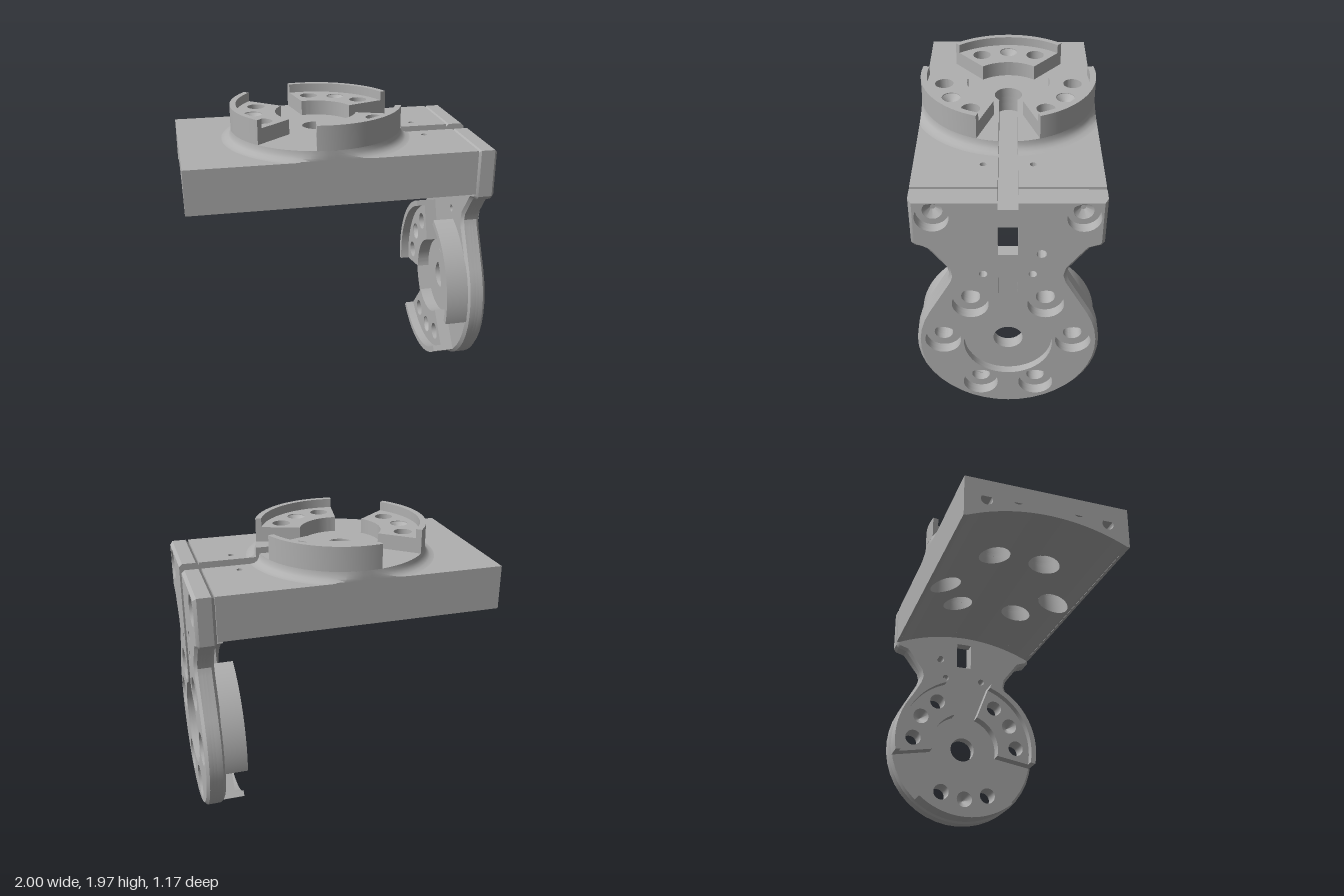
import * as THREE from 'three';
import { toCreasedNormals } from 'three/addons/utils/BufferGeometryUtils.js';

const V = (x, y) => new THREE.Vector2(x, y);
const PI = Math.PI, CX = -0.08, CY = 0.59;      // hub centres: top (x) and plate (y)
const HALF = 0.57, SLOT = 0.06, R = 0.57, XJ = 0.87;
const rad = (d) => d * PI / 180;

// underside arch height across the block
const AR = 1.32;
const arch = (z) => (Math.abs(z) >= 0.55 ? 1.45 : 1.57 - AR + Math.sqrt(AR * AR - z * z));

// bolt circle: two through holes either side of each pad centre
const boltCircle = (centres) => centres.flatMap((c) => [-26, 26].map((d) => [0.42 * Math.cos(rad(c + d)), 0.42 * Math.sin(rad(c + d))]));
const TOP_PADS = [60, 180, 300], PLATE_PADS = [30, 150, 270];
const topHoles = boltCircle(TOP_PADS).map(([x, y]) => [x + CX, y]);
const plateHoles = boltCircle(PLATE_PADS).map(([x, y]) => [x, y + CY]);

function drill(shape, x, y, r) {
  const p = new THREE.Path();
  p.absarc(x, y, r, 0, 2 * PI, true);
  shape.holes.push(p);
}
const extrude = (shape, depth) => new THREE.ExtrudeGeometry(shape, { depth, bevelEnabled: false, curveSegments: 20 });

// rounded end of the cable groove, traced around the hub centre
const keyhole = (s) => {
  const a = Math.asin(SLOT / 0.09);
  s.absarc(CX, 0, 0.09, -a, a, true);
};

function sector(r0, r1, deg) {
  const s = new THREE.Shape(), a = rad(deg - 40), b = rad(deg + 40);
  s.absarc(0, 0, r1, a, b, false);
  s.absarc(0, 0, r0, b, a, true);
  return s;
}

// right half of the plate outline, bottom to top, optionally inset for chamfers
function halfOutline(inset = 0) {
  const p = [];
  for (let i = 0; i <= 14; i++) {
    const a = rad(-90 + i * 119 / 14);
    p.push(V(0.585 * Math.cos(a), CY + 0.585 * Math.sin(a)));
  }
  [[0.37, 1.13], [0.355, 1.18], [0.367, 1.23], [0.46, 1.355], [0.485, 1.385], [0.52, 1.397],
    [0.55, 1.405], [0.57, 1.43], [HALF, 1.745], [SLOT, 1.745]].forEach(([x, y]) => p.push(V(x, y)));
  const normal = (a, b) => V(-(b.y - a.y), b.x - a.x).normalize();
  return p.map((q, i) => {
    const n1 = i ? normal(p[i - 1], q) : V(0, 1);
    const n2 = i < p.length - 1 ? normal(q, p[i + 1]) : n1;
    const k = inset / (1 + n1.dot(n2));
    return V(q.x + (n1.x + n2.x) * k, q.y + (n1.y + n2.y) * k);
  });
}

// plate slice: deep = with cable groove and round recess
function plateShape(deep, holeR, boltR) {
  const half = halfOutline(), inner = [];
  if (deep) {
    inner.push(V(SLOT, 0.92), V(0.075, 0.885));
    const a0 = Math.atan2(0.263, 0.11);
    for (let i = 0; i <= 20; i++) {
      const a = a0 - i * (a0 + PI / 2) / 20;
      inner.push(V(0.285 * Math.cos(a), CY + 0.285 * Math.sin(a)));
    }
  } else inner.push(V(SLOT, 1.64));
  const flip = (arr) => arr.filter((p) => p.x > 1e-4).map((p) => V(-p.x, p.y)).reverse();
  const s = new THREE.Shape([...half, ...inner, ...flip(inner), ...flip(half)]);
  plateHoles.forEach(([x, y]) => drill(s, x, y, holeR));
  [-0.15, 0.15].forEach((x) => drill(s, x, 1.19, 0.025));
  drill(s, 0.2, 1.35, 0.03);
  if (boltR) [-0.44, 0.44].forEach((x) => drill(s, x, 1.62, boltR));
  if (!deep) {
    drill(s, 0, CY, 0.095);
    s.holes.push(new THREE.Path([V(-SLOT, 1.3), V(-SLOT, 1.51), V(SLOT, 1.51), V(SLOT, 1.3)]));
  }
  return s;
}

// pull the outer outline inward on one end of a slice
function chamfer(geo, atZ, size) {
  const map = new Map(), a = halfOutline(), b = halfOutline(size);
  const key = (x, y) => `${Math.round(x * 1e4)},${Math.round(y * 1e4)}`;
  a.forEach((p, i) => {
    map.set(key(p.x, p.y), [b[i].x, b[i].y]);
    map.set(key(-p.x, p.y), [-b[i].x, b[i].y]);
  });
  const pos = geo.attributes.position;
  for (let i = 0; i < pos.count; i++) {
    if (Math.abs(pos.getZ(i) - atZ) > 1e-5) continue;
    const t = map.get(key(pos.getX(i), pos.getY(i)));
    if (t) pos.setXY(i, t[0], t[1]);
  }
}

// curved underside, woven in strips around the counterbores
function undersideGeometry(x0, x1, r) {
  const zs = new Set();
  for (let i = -19; i <= 19; i++) zs.add(+(i * 0.03).toFixed(4));
  topHoles.forEach(([, y]) => { for (let k = 0; k <= 12; k++) zs.add(+(-y + r * Math.cos(k * PI / 12)).toFixed(4)); });
  const list = [...zs].sort((a, b) => a - b), v = [];
  for (let i = 0; i < list.length - 1; i++) {
    const a = list[i], b = list[i + 1], m = (a + b) / 2;
    const cuts = topHoles.filter(([, y]) => Math.abs(m + y) < r).sort((p, q) => p[0] - q[0]);
    const edge = (z) => [x0, ...cuts.flatMap(([x, y]) => {
      const w = Math.sqrt(Math.max(0, r * r - (z + y) ** 2));
      return [x - w, x + w];
    }), x1];
    const ea = edge(a), eb = edge(b), ya = arch(a), yb = arch(b);
    for (let j = 0; j < ea.length; j += 2) {
      v.push(ea[j], ya, a, ea[j + 1], ya, a, eb[j + 1], yb, b);
      v.push(ea[j], ya, a, eb[j + 1], yb, b, eb[j], yb, b);
    }
  }
  const g = new THREE.BufferGeometry();
  g.setAttribute('position', new THREE.Float32BufferAttribute(v, 3));
  return g;
}

export function createModel() {
  const grey = new THREE.MeshStandardMaterial({ color: 0xb0b0b0, side: THREE.DoubleSide });
  grey.name = 'machined grey';
  const model = new THREE.Group();
  model.name = 'angleBracket';
  const add = (parent, name, geo) => {
    const m = new THREE.Mesh(toCreasedNormals(geo, 0.5), grey);
    m.name = name;
    parent.add(m);
    return m;
  };
  const group = (name) => {
    const g = new THREE.Group();
    g.name = name;
    model.add(g);
    return g;
  };

  // three raised pads with rims, holes and countersinks; local +z is outward
  const addPads = (parent, centres) => centres.forEach((deg) => {
    const c = rad(deg), pad = sector(0.27, 0.535, deg);
    boltCircle([deg]).forEach(([x, y]) => drill(pad, x, y, 0.06));
    drill(pad, 0.42 * Math.cos(c), 0.42 * Math.sin(c), 0.06);
    add(parent, 'pad', extrude(pad, 0.1));
    add(parent, 'padRim', extrude(sector(0.53, R, deg), 0.16));
    const sink = new THREE.CylinderGeometry(0.06, 0.003, 0.06, 20, 1, true).rotateX(PI / 2);
    add(parent, 'countersink', sink.translate(0.42 * Math.cos(c), 0.42 * Math.sin(c), 0.065));
  });

  // block: upper slices
  const block = group('block');
  [[1.62, 1.64, false, 0.11], [1.64, 1.7, true, 0.11], [1.7, 1.745, true, 0.06]].forEach(([y0, y1, groove, r]) => {
    const s = new THREE.Shape();
    s.moveTo(-1, -HALF);
    s.lineTo(XJ, -HALF);
    if (groove) {
      s.lineTo(XJ, -SLOT);
      keyhole(s);
      s.lineTo(XJ, SLOT);
    }
    s.lineTo(XJ, HALF);
    s.lineTo(-1, HALF);
    topHoles.forEach(([x, y]) => drill(s, x, y, r));
    if (groove) [-0.15, 0.15].forEach((y) => drill(s, 0.64, y, 0.02));
    add(block, 'blockSlice', extrude(s, y1 - y0).rotateX(-PI / 2).translate(0, y0, 0));
  });
  // block: arched ends, sides, underside and counterbores
  [[-1, -0.9, true], [-0.9, -0.88, false], [0.77, XJ, false]].forEach(([x0, x1, holes]) => {
    const pts = [V(HALF, 1.63), V(-HALF, 1.63), V(-HALF, 1.45)];
    for (let i = -16; i <= 16; i++) pts.push(V(i * 0.55 / 16, arch(i * 0.55 / 16)));
    pts.push(V(HALF, 1.45));
    if (holes) { pts[0].y = 1.74; pts[1].y = 1.74; }
    const s = new THREE.Shape(pts);
    if (holes) [-0.42, -0.21, 0, 0.21, 0.42].forEach((z) => drill(s, z, 1.665 - 0.38 * z * z, 0.04));
    add(block, 'blockEnd', extrude(s, x1 - x0).rotateY(PI / 2).translate(x0, 0, 0));
  });
  [-1, 1].forEach((s) => add(block, 'blockSide',
    new THREE.BoxGeometry(1.87, 0.18, 0.02).translate(-0.065, 1.54, s * (HALF - 0.01))));
  add(block, 'underside', undersideGeometry(-0.88, 0.77, 0.11));
  topHoles.forEach(([x, y]) => {
    const g = new THREE.CylinderGeometry(0.11, 0.11, 1, 24, 1, true).translate(x, 0, -y);
    const p = g.attributes.position;
    for (let i = 0; i < p.count; i++) p.setY(i, p.getY(i) > 0 ? 1.625 : arch(p.getZ(i)));
    add(block, 'counterbore', g);
  });

  // top hub: grooved disc, fillet skirt and pads
  const hub = group('topHub');
  const disc = new THREE.Shape(), b = Math.asin(SLOT / R);
  for (let i = 0; i <= 64; i++) {
    const a = b + i * (2 * PI - 2 * b) / 64;
    disc[i ? 'lineTo' : 'moveTo'](CX + R * Math.cos(a), R * Math.sin(a));
  }
  keyhole(disc);
  topHoles.forEach(([x, y]) => drill(disc, x, y, 0.06));
  add(hub, 'hubDisc', extrude(disc, 0.065).rotateX(-PI / 2).translate(0, 1.745, 0));
  const skirt = new THREE.LatheGeometry([V(0.635, 1.745), V(0.605, 1.75), V(0.585, 1.765), V(0.574, 1.785), V(R, 1.81)],
    64, PI / 2 + 0.1, 2 * PI - 0.2);
  const sp = skirt.attributes.position;
  for (let i = 0; i < sp.count; i++) sp.setZ(i, THREE.MathUtils.clamp(sp.getZ(i), -HALF, HALF));
  add(hub, 'hubFillet', skirt.translate(CX, 0, 0));
  const topPads = new THREE.Group();
  topPads.name = 'topPads';
  topPads.rotation.x = -PI / 2;
  topPads.position.set(CX, 1.81, 0);
  hub.add(topPads);
  addPads(topPads, TOP_PADS);

  // hanging plate, sliced through its thickness
  const plate = group('plate');
  [[XJ, 0.89, false, 0.06, 0, 'back'], [0.89, 0.93, false, 0.06, 0.06], [0.93, 0.95, false, 0.115, 0.1],
    [0.95, 0.98, true, 0.115, 0.1], [0.98, 1, true, 0.115, 0.1, 'front']].forEach(([x0, x1, deep, r, bolt, bevel]) => {
    const g = extrude(plateShape(deep, r, bolt), x1 - x0);
    if (bevel) chamfer(g, bevel === 'back' ? 0 : x1 - x0, 0.02);
    add(plate, 'plateSlice', g.rotateY(PI / 2).translate(x0, 0, 0));
  });
  [-0.44, 0.44].forEach((z) => add(plate, 'boltCountersink',
    new THREE.CylinderGeometry(0.06, 0.015, 0.035, 20, 1, true).rotateZ(-PI / 2).translate(0.91, 1.62, z)));
  const platePads = new THREE.Group();
  platePads.name = 'platePads';
  platePads.rotation.y = -PI / 2;
  platePads.position.set(0.885, CY, 0);
  plate.add(platePads);
  addPads(platePads, PLATE_PADS);

  return model;
}
